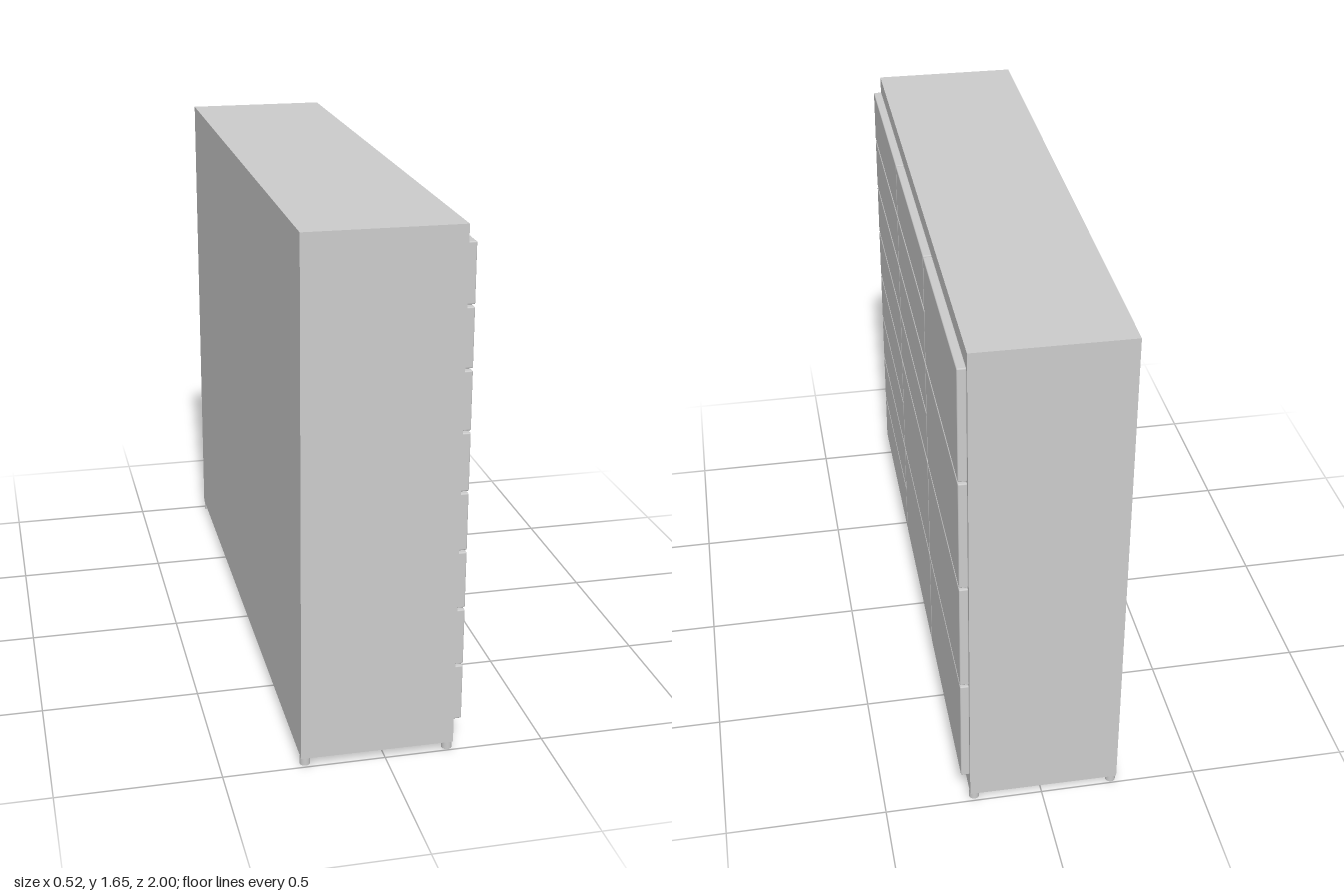
import * as THREE from 'three';
import { RoundedBoxGeometry } from 'three/addons/geometries/RoundedBoxGeometry.js';

export function createModel() {
  const model = new THREE.Group();
  model.name = 'drawerCabinet';
  const material = new THREE.MeshStandardMaterial({ color: 0xcccccc });

  // The whole cabinet stands very slightly turned
  const cabinet = new THREE.Group();
  cabinet.name = 'cabinet';
  cabinet.rotation.y = -0.008;
  model.add(cabinet);

  function add(name, geometry, x, y, z) {
    const mesh = new THREE.Mesh(geometry, material);
    mesh.name = name;
    mesh.position.set(x, y, z);
    cabinet.add(mesh);
  }

  // Carcass: drawers sit on its +x side
  const back = -0.252, face = 0.222, bottom = 0.027, top = 1.65;
  add('carcass', new THREE.BoxGeometry(face - back, top - bottom, 1.996),
    (back + face) / 2, (top + bottom) / 2, 0);

  // Drawer fronts: three columns of four cells, each cell one deep or two shallow drawers
  const thickness = 0.028, front = 0.249;
  const cellTop = 1.597, pitch = 0.376, gap = 0.007;
  const width = 0.654, columnPitch = 0.6595, firstColumn = 0.661;
  const splitCells = [4, 2, 0]; // cells split in two, counted from the top
  splitCells.forEach((split, column) => {
    for (let cell = 0; cell < 4; cell++) {
      const parts = cell < split ? 2 : 1;
      const step = pitch / parts;
      for (let i = 0; i < parts; i++) {
        const height = step - gap;
        const y = cellTop - cell * pitch - i * step - height / 2;
        add(parts === 2 ? 'shallowDrawer' : 'deepDrawer',
          new RoundedBoxGeometry(thickness, height, width, 2, 0.004),
          front - thickness / 2, y, firstColumn - column * columnPitch);
      }
    }
  });

  // Round feet at the four corners
  const footGeometry = new THREE.CylinderGeometry(0.016, 0.016, 0.03, 20);
  for (const x of [-0.237, 0.207])
    for (const z of [-0.978, 0.978]) add('foot', footGeometry, x, 0.015, z);

  return model;
}
